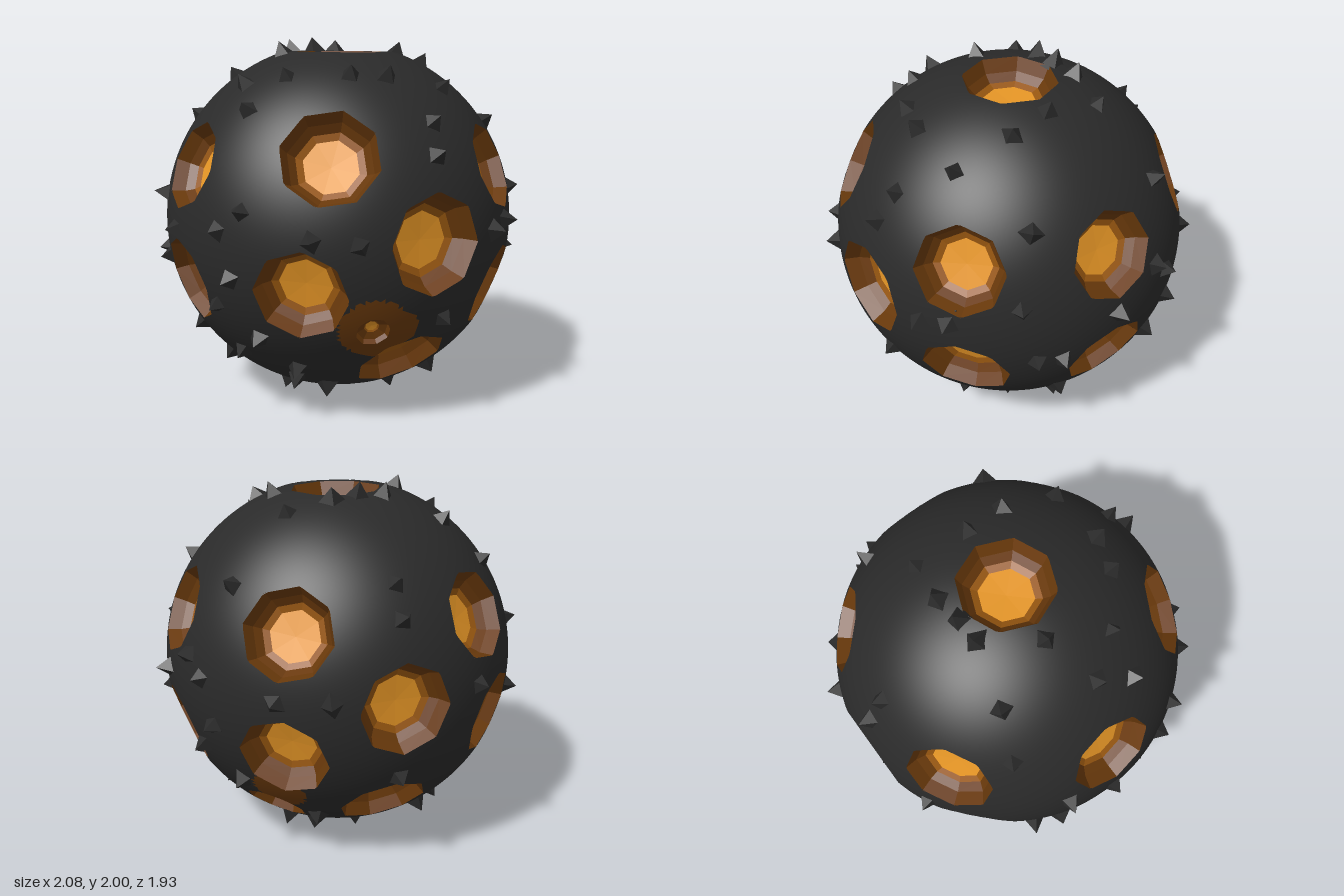
import * as THREE from 'three';

const R = 0.97, SIDES = 8, STEP = Math.PI * 2 / SIDES;
const UP = new THREE.Vector3(0, 1, 0);

const paint = (name, color) => {
  const m = new THREE.MeshStandardMaterial({ color });
  m.name = name;
  return m;
};

// Crater axes on the ball, then opening radius and, where flattened, rim height
const craterList = [
  [0.01, 1, 0, 0.255, 0.92], [0, -1, 0.06, 0.25, 0.905],
  [0.045, 0, 1, 0.265], [0, -0.03, -1, 0.245],
  [0.02, -0.69, 0.67, 0.25], [0, -0.66, -0.69],
  [0.89, 0.33, 0], [-0.89, 0.35, 0.02], [0.89, -0.33, 0], [-0.9, -0.27, 0],
  [0.57, 0.34, 0.71], [-0.45, 0.45, 0.74, 0.255], [0.53, 0.35, -0.71], [-0.48, 0.35, -0.73],
  [0.57, -0.33, 0.69, 0.245], [-0.6, -0.24, 0.71, 0.245], [0.54, -0.29, -0.68], [-0.6, -0.22, -0.66],
  [0.5, -0.7, -0.39, 0.17], [-0.25, -0.43, 0.82, 0.09],
];

function makeCrater([x, y, z, r = 0.24, rim = Math.sqrt(R * R - r * r)]) {
  const dir = new THREE.Vector3(x, y, z).normalize();
  const q = new THREE.Quaternion().setFromUnitVectors(UP, dir);
  return { dir, q, inv: q.clone().invert(), r, rim };
}

// Radius of the eight-sided opening at angle t
function openingRadius(r, t) {
  const a = ((t % STEP) + STEP) % STEP - STEP / 2;
  return r * Math.cos(STEP / 2) / Math.cos(a);
}

// Ball with every opening cut out and its edge pulled onto the crater rim;
// material 1 marks the burnt crust around the two small craters
function shellGeometry(craters) {
  const src = new THREE.IcosahedronGeometry(R, 42).attributes.position;
  const burns = [[-0.25, -0.41, 0.82, 0.185], [-0.13, -0.43, 0.85, 0.12],
    [-0.2, -0.5, 0.8, 0.12], [0.54, -0.53, -0.57, 0.15]]
    .map(b => ({ dir: new THREE.Vector3(b[0], b[1], b[2]).normalize(), a: b[3] }));
  const buckets = [[], []];
  for (let i = 0; i < src.count; i += 3) {
    let inside = 0;
    const tri = [0, 1, 2].map(k => {
      const p = new THREE.Vector3().fromBufferAttribute(src, i + k);
      for (const c of craters) {
        if (p.dot(c.dir) < R * 0.8) continue;
        const l = p.clone().applyQuaternion(c.inv);
        const t = Math.atan2(l.z, l.x);
        const edge = openingRadius(c.r, t);
        if (Math.hypot(l.x, l.z) * c.rim / l.y < edge) {
          inside++;
          return l.set(edge * Math.cos(t), c.rim, edge * Math.sin(t)).applyQuaternion(c.q);
        }
        // flat collar where the rim lies below the ball
        if (l.y > c.rim) return p.multiplyScalar(c.rim / l.y);
      }
      return p;
    });
    if (inside === 3) continue;
    const mid = tri[0].clone().add(tri[1]).add(tri[2]).normalize();
    const burnt = burns.some(b => mid.angleTo(b.dir) < b.a);
    for (const p of tri) buckets[burnt ? 1 : 0].push(p.x, p.y, p.z);
  }
  const all = buckets[0].concat(buckets[1]);
  const geo = new THREE.BufferGeometry();
  geo.setAttribute('position', new THREE.Float32BufferAttribute(all, 3));
  geo.setAttribute('normal', new THREE.Float32BufferAttribute(all.map(v => v / R), 3));
  geo.normalizeNormals();
  geo.addGroup(0, buckets[0].length / 3, 0);
  geo.addGroup(buckets[0].length / 3, buckets[1].length / 3, 1);
  return geo;
}

// Faceted bowl: glowing floor, amber band, then two scorched wall bands
function bowlGeometry({ r, rim }) {
  const glowPart = r < 0.2 ? 0.62 : 1;
  const profile = [[0, -0.53], [0.57 * glowPart, -0.5], [0.72 * glowPart, -0.44], [0.87, -0.28], [1, 0]]
    .map(([pr, d]) => [pr * r, rim + d * r]);
  const geo = new THREE.BufferGeometry();
  const pos = [];
  const at = ([pr, y], k) => [pr * Math.cos(k * STEP), y, pr * Math.sin(k * STEP)];
  [0, 1, 2, 2].forEach((slot, j) => {
    const a = profile[j], b = profile[j + 1], start = pos.length / 3;
    for (let k = 0; k < SIDES; k++) {
      pos.push(...at(a, k), ...at(b, k + 1), ...at(b, k));
      if (j > 0) pos.push(...at(a, k), ...at(a, k + 1), ...at(b, k + 1));
    }
    geo.addGroup(start, pos.length / 3 - start, slot);
  });
  geo.setAttribute('position', new THREE.Float32BufferAttribute(pos, 3));
  geo.computeVertexNormals();
  return geo;
}

// Spike directions, as pairs on the front, side and top of the ball
const frontSpikes = [
  [-0.46, 0.8], [-0.2, 0.81], [-0.02, 0.8], [-0.67, 0.64], [0.12, 0.58], [0.08, 0.43],
  [-0.89, 0.06], [-0.7, -0.5], [-0.5, -0.68], [0.13, -0.4], [0.28, -0.78], [-0.28, -0.84],
  [-0.86, -0.34], [-0.37, 0.03], [0.44, 0.02], [0.75, -0.58], [0.6, -0.75], [0.15, -0.95],
  [-0.08, -0.95], [0.36, 0.9], [0.9, -0.2],
];
const sideSpikes = [
  [0.38, 0.53], [-0.4, 0.53], [0.5, 0.17], [-0.27, 0.16], [0, 0.01], [0.43, -0.18],
  [-0.44, -0.18], [0.25, -0.62], [0.78, 0.05], [-0.75, 0.02], [0.6, 0.8], [0.8, 0.6],
  [-0.8, 0.58], [0.91, 0.43], [-0.91, 0.43], [0.9, -0.43], [-0.9, -0.43], [0.22, -0.95],
  [-0.28, -0.95], [-0.5, -0.83], [0.53, -0.8], [-0.3, 0.93],
];
const topSpikes = [
  [0.1, -0.78], [-0.65, -0.45], [-0.45, -0.37], [0.15, -0.31], [0.38, -0.28], [0.72, -0.38],
  [-0.33, -0.02], [0.3, 0.02], [-0.14, -0.29], [-0.68, 0.38], [-0.42, 0.38], [0.38, 0.25],
  [-0.05, 0.57], [0.32, 0.55], [0.1, 0.78], [-0.6, 0.1],
];

function spikeDirections(craters) {
  const rest = (a, b) => Math.sqrt(Math.max(0, 0.94 - a * a - b * b));
  const wanted = [
    ...frontSpikes.map(([x, y]) => [x, y, rest(x, y)]),
    ...sideSpikes.map(([z, y]) => [rest(z, y), y, z]),
    ...topSpikes.map(([x, z]) => [x, rest(x, z), z]),
    // far sides repeat the pattern, mirrored
    ...frontSpikes.filter(s => s[1] < 0.5).map(([x, y]) => [-x, y, -rest(x, y)]),
    ...sideSpikes.filter(s => s[1] < 0.5).map(([z, y]) => [-rest(z, y), y, z]),
    ...topSpikes.filter(s => Math.hypot(...s) < 0.7).map(([x, z]) => [x, -rest(x, z), -z]),
  ];
  const kept = [];
  for (const w of wanted) {
    const d = new THREE.Vector3(...w).normalize();
    if (craters.some(c => d.angleTo(c.dir) < Math.asin(c.r / R) + 0.045)) continue;
    if (kept.some(o => o.angleTo(d) < 0.14)) continue;
    kept.push(d);
  }
  return kept;
}

export function createModel() {
  const model = new THREE.Group();
  model.name = 'crateredSpikyBall';
  const charcoal = paint('charcoal', 0x2a2a2a);
  const scorched = paint('scorchedBrown', 0x69390b);
  const amber = paint('amber', 0x965610);
  const glow = paint('glowingOrange', 0xe69626);

  const ball = new THREE.Group();
  ball.name = 'ball';
  ball.position.set(-0.015, 1, 0);
  model.add(ball);
  const add = (name, geo, mat) => {
    const mesh = new THREE.Mesh(geo, mat);
    mesh.name = name;
    ball.add(mesh);
    return mesh;
  };

  const craters = craterList.map(makeCrater);
  add('shell', shellGeometry(craters), [charcoal, scorched]);

  // Craters
  for (const c of craters) {
    add('crater', bowlGeometry(c), [glow, amber, scorched]).quaternion.copy(c.q);
  }

  // Four-sided spikes of slightly varied size and twist
  const spike = new THREE.ConeGeometry(0.085, 0.12, 4, 1, true).toNonIndexed();
  spike.translate(0, 0.06, 0);
  spike.computeVertexNormals();
  spikeDirections(craters).forEach((d, i) => {
    const mesh = add('spike', spike, charcoal);
    mesh.position.copy(d).multiplyScalar(R - 0.035);
    mesh.quaternion.setFromUnitVectors(UP, d);
    mesh.rotateY(i * 1.7);
    mesh.scale.set(0.85 + 0.1 * (i % 4), 0.82 + 0.06 * (i % 3), 0.95);
  });
  return model;
}
